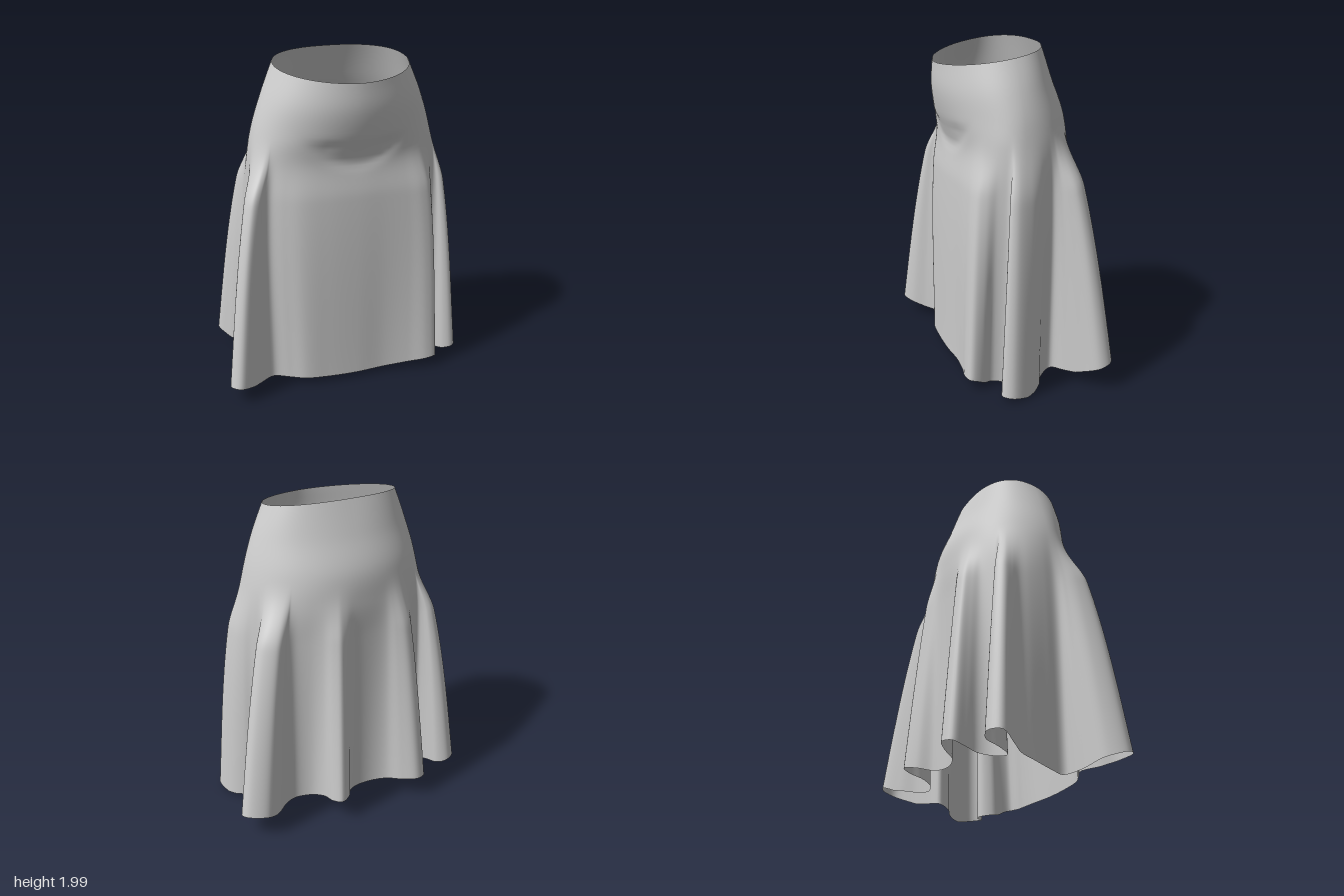
import * as THREE from 'three';

const COLUMNS = 400, ROWS = 70, CENTRE_Z = 0.1;

// Hem outline as [x, z], from centre front round by the left side, with seven hanging folds
const HEM = [
  [0, 0.405], [0.18, 0.4], [0.34, 0.42], [0.46, 0.445], [0.525, 0.43], [0.525, 0.36], [0.485, 0.285],
  [0.53, 0.205], [0.6, 0.225], [0.65, 0.285], [0.705, 0.3], [0.745, 0.25], [0.71, 0.12], [0.645, 0.045], [0.57, 0],
  [0.525, -0.08], [0.61, -0.135], [0.71, -0.2], [0.80, -0.28], [0.79, -0.35], [0.67, -0.4], [0.57, -0.34],
  [0.48, -0.25], [0.4, -0.215], [0.3, -0.25],
  [0.25, -0.32], [0.24, -0.41], [0.2, -0.465], [0.13, -0.42], [0.07, -0.335], [0, -0.305], [-0.1, -0.305],
  [-0.19, -0.34], [-0.26, -0.42], [-0.34, -0.475], [-0.41, -0.445], [-0.4, -0.36], [-0.385, -0.28], [-0.43, -0.205],
  [-0.51, -0.165], [-0.555, -0.24], [-0.58, -0.335], [-0.65, -0.365], [-0.72, -0.31], [-0.67, -0.22], [-0.595, -0.13],
  [-0.575, -0.04], [-0.55, 0.08],
  [-0.545, 0.17], [-0.64, 0.22], [-0.76, 0.31], [-0.805, 0.41], [-0.76, 0.47], [-0.68, 0.44], [-0.59, 0.35],
  [-0.51, 0.3], [-0.42, 0.34], [-0.33, 0.385], [-0.18, 0.4],
];

// Body shape by height: half width, front z, back z, front squareness, back squareness
const HEIGHTS = [0, 1.2, 1.42, 1.6, 1.8, 2];
const SHAPES = [
  0.57, 0.405, -0.305, 2.5, 2.3,
  0.585, 0.385, -0.32, 2.5, 2.3,
  0.572, 0.365, -0.325, 2.4, 2.2,
  0.543, 0.41, -0.31, 2.0, 2.05,
  0.485, 0.44, -0.235, 1.9, 2.1,
  0.41, 0.44, -0.16, 1.86, 2.4,
];
const shapeAt = new THREE.CubicInterpolant(new Float32Array(HEIGHTS), new Float32Array(SHAPES), 5);

function bodyPoint(angle, height) {
  const [halfWidth, front, back, frontPower, backPower] = shapeAt.evaluate(Math.min(2, Math.max(0, height)));
  const s = Math.sin(angle), c = Math.cos(angle);
  const depth = c > 0 ? front - CENTRE_Z : CENTRE_Z - back;
  const n = c > 0 ? frontPower : backPower;
  const r = (Math.abs(s / halfWidth) ** n + Math.abs(c / depth) ** n) ** (-1 / n);
  return [r * s, CENTRE_Z + r * c];
}

// The hem is lowest at the sides and rises to the back, the front corners and the fold tips
function hemHeight(x, z) {
  const slope = z < 0.15 ? 0.24 * (0.15 - z) : 0.14 * (z - 0.15);
  const start = x < 0 ? 0.18 : 0.3;
  const corner = 0.12 * Math.min(0.25, x * x) * THREE.MathUtils.smoothstep(z, start, start + 0.12);
  return 0.01 + slope + corner + (z > 0 ? 0.15 : 0.25) * Math.max(0, Math.hypot(x, z) - 0.7);
}

// Steadily increasing angle for every hem point, so folds spring from narrow sectors of the hip
function hipAngles(points) {
  const turn = Math.PI * 2, n = points.length;
  const raw = points.map((p, i) => {
    const a = Math.atan2(p.x, p.z - CENTRE_Z);
    // The front folds start further round to the sides
    const shifted = a + 0.19 * Math.sin(Math.PI / 2 * Math.max(-2, Math.min(2, a)));
    return a < 0 && i > n / 4 ? shifted + turn : shifted;
  });
  const rising = raw.slice(), falling = raw.slice();
  for (let i = 1; i < n; i++) rising[i] = Math.max(rising[i], rising[i - 1]);
  for (let i = n - 2; i >= 0; i--) falling[i] = Math.min(falling[i], falling[i + 1]);
  const reach = 8;
  return raw.map((_, i) => {
    let sum = 0;
    for (let k = i - reach; k <= i + reach; k++) {
      const j = (k + n) % n;
      sum += (rising[j] + falling[j]) / 2 + Math.floor(k / n) * turn;
    }
    return 0.87 * sum / (2 * reach + 1) + 0.13 * turn * i / n;
  });
}

// Soft creases sagging across the lower belly
function crease(x, y, z) {
  if (z < 0.2) return 0;
  const fade = Math.exp(-((x / 0.26) ** 4));
  const low = Math.exp(-(((y - 1.41 - 1.4 * x * x) / 0.04) ** 2));
  const high = Math.exp(-(((y - 1.51 - 0.3 * x * x) / 0.03) ** 2)) * Math.min(1, (x / 0.18) ** 2);
  return -fade * (0.009 * low + 0.01 * high);
}

function buildCloth() {
  const curve = new THREE.CatmullRomCurve3(HEM.map(([x, z]) => new THREE.Vector3(x, 0, z)), true);
  curve.arcLengthDivisions = 1200;
  const hem = curve.getSpacedPoints(COLUMNS).slice(0, COLUMNS);
  const angles = hipAngles(hem);
  const positions = [], index = [];

  for (let row = 0; row <= ROWS; row++) {
    hem.forEach((h, i) => {
      // The waist edge dips towards the front
      const waistZ = bodyPoint(angles[i], 2)[1];
      const top = 1.97 - 0.18 * waistZ;
      const bottom = hemHeight(h.x, h.z);
      const y = THREE.MathUtils.lerp(top, bottom, row / ROWS);
      const height = y + (2 - top) * Math.max(0, (y - 1.5) / (top - 1.5));
      const [bx, bz] = bodyPoint(angles[i], height);
      const [ex, ez] = bodyPoint(angles[i], 0);
      // Folds open out gradually below the hip
      const q = Math.min(1, Math.max(0, (1.58 - y) / (1.58 - bottom)));
      const open = q ** 0.75 * THREE.MathUtils.smoothstep(q, 0, 0.26);
      const x = bx + (h.x - ex) * open;
      const z = bz + (h.z - ez) * open;
      positions.push(x, y, z + crease(x, y, z));
    });
  }
  for (let row = 0; row < ROWS; row++) {
    for (let i = 0; i < COLUMNS; i++) {
      const a = row * COLUMNS + i, b = row * COLUMNS + (i + 1) % COLUMNS;
      index.push(a, a + COLUMNS, b, b, a + COLUMNS, b + COLUMNS);
    }
  }
  const geometry = new THREE.BufferGeometry();
  geometry.setAttribute('position', new THREE.Float32BufferAttribute(positions, 3));
  geometry.setIndex(index);
  geometry.computeVertexNormals();
  return geometry;
}

export function createModel() {
  const group = new THREE.Group();
  group.name = 'skirt';
  const material = new THREE.MeshStandardMaterial({ color: 0xcccccc, side: THREE.DoubleSide });
  const cloth = new THREE.Mesh(buildCloth(), material);
  cloth.name = 'skirtCloth';
  group.add(cloth);
  return group;
}
